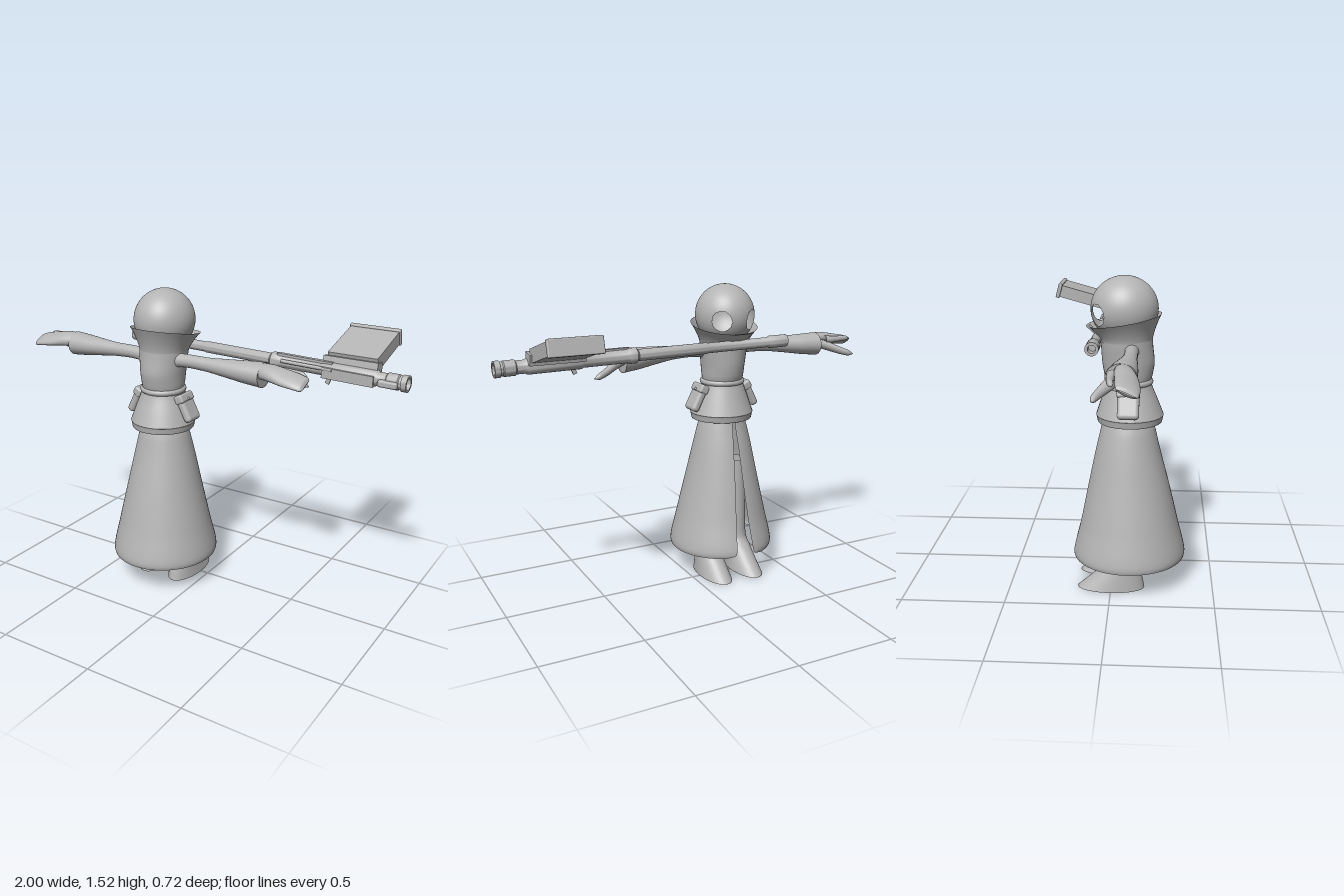
import * as THREE from 'three';
import { toCreasedNormals } from 'three/addons/utils/BufferGeometryUtils.js';
import { RoundedBoxGeometry } from 'three/addons/geometries/RoundedBoxGeometry.js';
import { ParametricGeometry } from 'three/addons/geometries/ParametricGeometry.js';

const CX = -0.21; // body axis

export function createModel() {
  const model = new THREE.Group();
  model.name = 'robedFigureWithGun';
  const clay = new THREE.MeshStandardMaterial({ color: 0xb4b4b4, side: THREE.DoubleSide });
  clay.name = 'clay grey';

  const add = (parent, name, geo, pos = [0, 0, 0], rot = [0, 0, 0]) => {
    const mesh = new THREE.Mesh(geo, clay);
    mesh.name = name;
    mesh.position.set(...pos);
    mesh.rotation.set(...rot);
    parent.add(mesh);
    return mesh;
  };

  // Smooth sections [x, y, z, rA, rB]: rings lie across the y or the x axis
  const loft = (sections, axis = 'y', slit = () => 0, nu = 40, nv = 32) => {
    const mid = new THREE.CatmullRomCurve3(sections.map((s) => new THREE.Vector3(s[0], s[1], s[2])));
    const rad = new THREE.CatmullRomCurve3(sections.map((s) => new THREE.Vector3(s[3], s[4], 0)));
    return new ParametricGeometry((u, v, out) => {
      const c = mid.getPoint(v), r = rad.getPoint(v), gap = slit(v);
      // the ring starts and ends at -z, where a slit may open
      const a = Math.PI + gap + u * (2 * Math.PI - 2 * gap);
      if (axis === 'y') out.set(c.x + r.x * Math.sin(a), c.y, c.z + r.y * Math.cos(a));
      else out.set(c.x, c.y + r.x * Math.sin(a), c.z + r.y * Math.cos(a));
    }, nu, nv);
  };

  // Long skirt, slit along the face side, with rounded lower corners
  add(model, 'longSkirt', loft([
    [CX, 0.95, 0.08, 0.09, 0.1], [CX, 0.87, 0.075, 0.102, 0.113], [CX, 0.79, 0.077, 0.128, 0.132],
    [CX, 0.7, 0.077, 0.15, 0.153], [CX, 0.5, 0.082, 0.194, 0.2], [CX, 0.32, 0.085, 0.235, 0.24],
    [CX, 0.165, 0.085, 0.268, 0.276], [CX, 0.145, 0.085, 0.265, 0.272],
  ], 'y', (v) => 0.01 + 0.2 * v + 0.22 * Math.max(0, (v - 0.8) / 0.2) ** 3, 64, 48));

  // Jacket: short flared tail, belt and torso
  add(model, 'jacketTail', loft([
    [CX, 1.04, 0.08, 0.1, 0.1], [CX, 1.0, 0.08, 0.113, 0.112],
    [CX, 0.93, 0.083, 0.14, 0.138], [CX, 0.867, 0.085, 0.163, 0.161],
  ]));
  add(model, 'jacketTailLining', loft([
    [CX, 0.867, 0.085, 0.163, 0.161], [CX, 0.867, 0.085, 0.15, 0.148], [CX, 0.95, 0.083, 0.12, 0.12],
  ]));
  add(model, 'torso', loft([
    [CX, 1.02, 0.08, 0.1, 0.1], [CX, 1.06, 0.078, 0.105, 0.113], [CX, 1.12, 0.077, 0.11, 0.123],
    [CX, 1.2, 0.07, 0.119, 0.122], [CX, 1.26, 0.066, 0.122, 0.122],
  ]));
  const belt = add(model, 'belt', new THREE.TorusGeometry(0.102, 0.013, 10, 48),
    [CX, 1.028, 0.08], [Math.PI / 2, 0, 0]);
  belt.scale.z = 1.1;

  // Flared collar, wrapped past a full turn so that its end overlaps
  add(model, 'collar', new ParametricGeometry((u, v, out) => {
    const a = Math.PI - 0.2 + u * (2 * Math.PI + 0.6);
    const flare = v ** 1.5, over = 0.014 * u * v;
    const r = 0.12 + 0.043 * flare + over;
    const top = 1.32 + 0.03 * Math.cos(a);
    out.set(CX + r * Math.sin(a), 1.22 + (top - 1.22) * v, 0.066 - 0.008 * v + (r + 0.003) * Math.cos(a));
  }, 60, 12));

  // Head with two round eye openings
  const headGeo = () => {
    const geo = new THREE.SphereGeometry(1, 120, 80);
    const pos = geo.attributes.position, index = geo.index.array, kept = [];
    const eyes = [-1, 1].map((s) => new THREE.Vector3(s * 0.58, -0.13, -0.8).normalize());
    const R = 0.33, p = new THREE.Vector3(), q = new THREE.Vector3();
    for (let i = 0; i < index.length; i += 3) {
      q.set(0, 0, 0);
      for (let k = 0; k < 3; k++) q.add(p.fromBufferAttribute(pos, index[i + k]));
      if (eyes.every((e) => q.angleTo(e) > R)) kept.push(index[i], index[i + 1], index[i + 2]);
    }
    // pull the leftover rim points out onto the circle
    for (let i = 0; i < pos.count; i++) {
      p.fromBufferAttribute(pos, i);
      for (const e of eyes) {
        if (p.angleTo(e) < R) {
          q.crossVectors(e, p).normalize();
          p.copy(e).applyAxisAngle(q, R);
          pos.setXYZ(i, p.x, p.y, p.z);
        }
      }
    }
    geo.setIndex(kept);
    return geo.scale(0.147, 0.152, 0.157);
  };
  add(model, 'head', headGeo(), [CX, 1.37, 0.058]);

  // Arms, hands, pouches and boots, mirrored about the body axis
  for (const s of [-1, 1]) {
    const side = new THREE.Group();
    side.name = s > 0 ? 'leftSide' : 'rightSide';
    side.position.x = CX;
    side.scale.x = s;
    model.add(side);

    add(side, 'sleeve', loft([
      [0.06, 1.185, 0.095, 0.036, 0.036], [0.17, 1.192, 0.095, 0.032, 0.031], [0.27, 1.19, 0.094, 0.034, 0.033],
      [0.37, 1.186, 0.087, 0.043, 0.045], [0.47, 1.181, 0.076, 0.053, 0.06], [0.56, 1.178, 0.068, 0.06, 0.067],
    ], 'x'));
    const cuff = add(side, 'cuffEnd', new THREE.CircleGeometry(1, 32), [0.558, 1.178, 0.068], [0, Math.PI / 2, 0]);
    cuff.scale.set(0.066, 0.059, 1);

    add(side, 'fingers', loft([
      [0.54, 0.005, -0.02, 0.035, 0.04], [0.61, 0.01, -0.01, 0.032, 0.05], [0.68, 0.006, 0.002, 0.025, 0.054],
      [0.74, 0, 0.008, 0.021, 0.053], [0.78, -0.008, 0.01, 0.016, 0.048], [0.79, -0.01, 0.01, 0.002, 0.036],
    ], 'x'), [0, 1.187, 0.095], [0.4, 0, 0]);
    add(side, 'thumb', loft([
      [0.56, 1.185, 0.05, 0.025, 0.03], [0.62, 1.165, 0.022, 0.024, 0.028], [0.67, 1.145, -0.01, 0.02, 0.02],
      [0.71, 1.132, -0.03, 0.016, 0.015], [0.74, 1.124, -0.036, 0.002, 0.003],
    ], 'x'));
    add(side, 'indexFinger', loft([
      [0.6, 1.2, 0.035, 0.022, 0.024], [0.67, 1.2, 0.03, 0.016, 0.016],
      [0.74, 1.2, 0.035, 0.013, 0.013], [0.765, 1.195, 0.04, 0.002, 0.002],
    ], 'x'));

    const pouch = new THREE.Group();
    pouch.name = 'pouch';
    pouch.position.set(0.147, 0.95, 0.082);
    pouch.rotation.z = 0.47;
    side.add(pouch);
    add(pouch, 'pouchBody', new RoundedBoxGeometry(0.042, 0.14, 0.102, 4, 0.018));
    add(pouch, 'pouchFlap', new RoundedBoxGeometry(0.05, 0.045, 0.108, 3, 0.012), [0.001, 0.052, 0]);
    add(pouch, 'pouchButton', new THREE.SphereGeometry(0.007, 12, 8), [0.026, 0.04, 0]);

    add(side, 'boot', loft([
      [0.085, 0.6, 0.075, 0.05, 0.055], [0.088, 0.3, 0.075, 0.052, 0.056], [0.088, 0.16, 0.072, 0.056, 0.062],
      [0.09, 0.11, 0.05, 0.062, 0.09], [0.091, 0.05, 0.024, 0.07, 0.131], [0.092, 0, 0, 0.077, 0.165],
    ]));
    const sole = add(side, 'sole', new THREE.CircleGeometry(1, 40), [0.092, 0.001, 0], [Math.PI / 2, 0, 0]);
    sole.scale.set(0.077, 0.165, 1);
  }

  // Long gun lying across the face side, muzzle towards -x
  const gun = new THREE.Group();
  gun.name = 'gun';
  gun.position.set(0, 1.227, -0.065);
  gun.rotation.set(0, -0.018, -0.0168);
  model.add(gun);
  const profile = [
    [0, -0.44], [0.018, -0.44], [0.018, -0.49], [0.031, -0.49], [0.031, -0.395], [0.025, -0.385],
    [0.025, -0.05], [0.028, -0.04], [0.028, 0.32], [0.037, 0.33], [0.037, 0.365], [0.032, 0.375],
    [0.032, 0.59], [0.037, 0.6], [0.037, 0.85], [0.031, 0.86], [0.031, 0.9], [0.036, 0.905],
    [0.036, 0.955], [0.032, 0.96], [0.032, 0.97], [0.038, 0.972], [0.038, 0.998], [0.027, 0.998],
    [0.027, 0.95], [0, 0.95],
  ].map(([r, x]) => new THREE.Vector2(r, x));
  const tube = new THREE.LatheGeometry(profile, 28).rotateZ(-Math.PI / 2);
  add(gun, 'barrelAndReceiver', toCreasedNormals(tube, 0.6));
  add(gun, 'receiverBlock', new THREE.BoxGeometry(0.25, 0.05, 0.05), [0.725, -0.008, 0.018]);
  add(gun, 'topRail', new THREE.BoxGeometry(0.28, 0.012, 0.022), [0.5, 0.034, 0.01]);
  add(gun, 'sideRod', new THREE.CylinderGeometry(0.009, 0.009, 0.26, 12), [0.52, 0.01, 0.036], [0, 0, Math.PI / 2]);
  add(gun, 'sideKnob', new RoundedBoxGeometry(0.09, 0.032, 0.03, 3, 0.01), [0.915, -0.008, 0.035]);
  add(gun, 'trigger', new THREE.BoxGeometry(0.02, 0.04, 0.01), [0.63, -0.042, 0.02], [0, 0, -0.4]);

  // Flat magazine rising away from the receiver
  const magazine = new THREE.Group();
  magazine.name = 'magazine';
  magazine.position.set(0.72, 1.262, -0.08);
  magazine.rotation.x = 0.27;
  model.add(magazine);
  add(magazine, 'magazineBody', new THREE.BoxGeometry(0.24, 0.064, 0.27), [0, 0, -0.135]);
  add(magazine, 'magazineLip', new RoundedBoxGeometry(0.252, 0.08, 0.022, 3, 0.006), [0, 0, -0.272]);
  add(magazine, 'magazineHolder', new THREE.BoxGeometry(0.262, 0.05, 0.06), [0, -0.01, 0.005], [-0.45, 0, 0]);

  return model;
}
